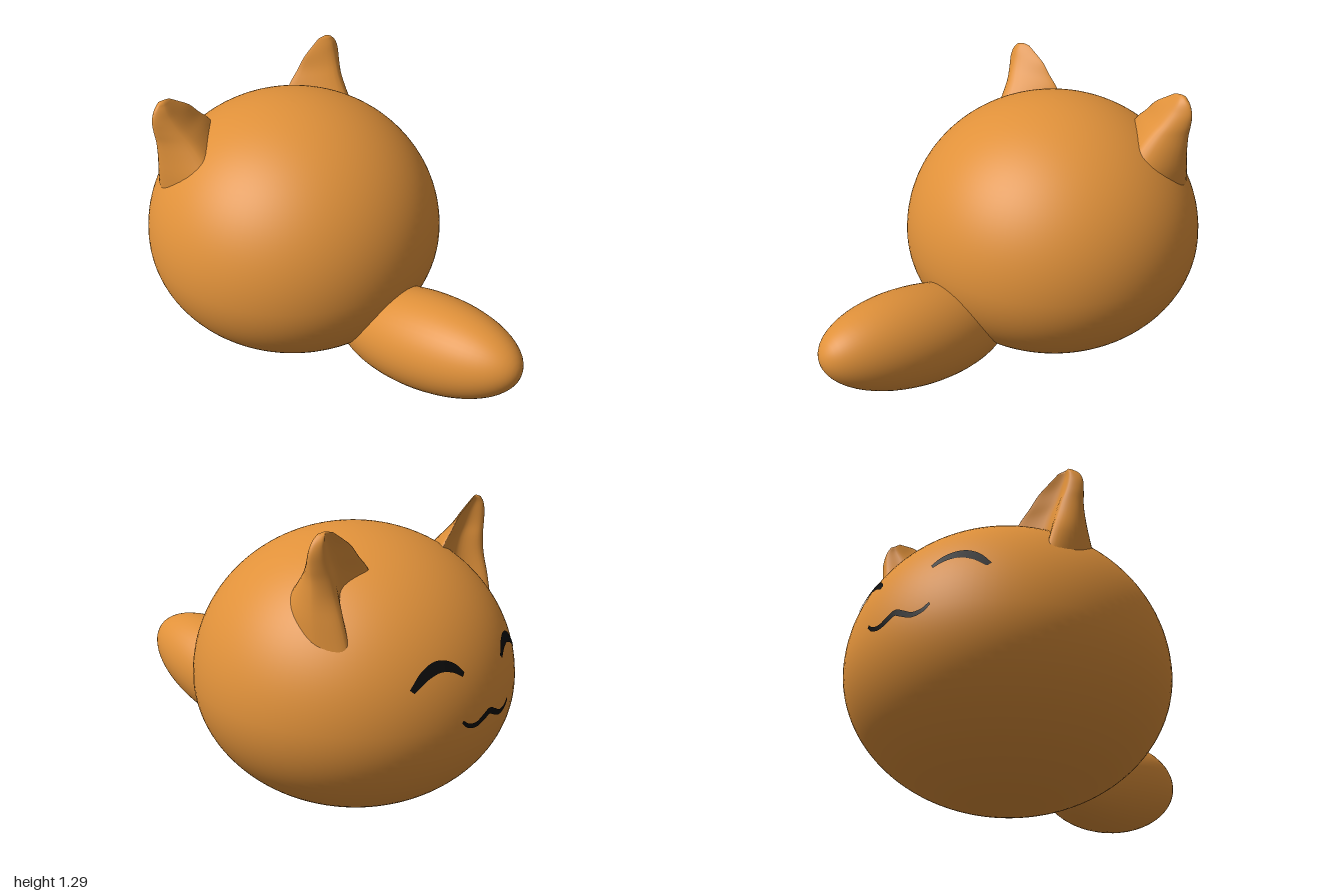
import * as THREE from 'three';

const fur = new THREE.MeshStandardMaterial({ color: 0xe0913a });
fur.name = 'orangeFur';
const ink = new THREE.MeshStandardMaterial({ color: 0x0c0c0c, side: THREE.DoubleSide });
ink.name = 'blackInk';

// Egg-shaped body: rounder above its widest level than below it
const BODY = { y: 0.56, z: -0.31, r: 0.69, up: 0.645, down: 0.557 };

function mesh(name, geometry, material) {
  const m = new THREE.Mesh(geometry, material);
  m.name = name;
  return m;
}

function makeBody() {
  const profile = [];
  for (let i = 0; i <= 64; i++) {
    const a = -Math.PI / 2 + (Math.PI * i) / 64;
    const h = Math.sin(a) * (a > 0 ? BODY.up : BODY.down);
    profile.push(new THREE.Vector2(Math.max(0, Math.cos(a) * BODY.r), h));
  }
  const body = mesh('body', new THREE.LatheGeometry(profile, 96), fur);
  body.position.set(0, BODY.y, BODY.z);
  return body;
}

function makeTail() {
  const tail = mesh('tail', new THREE.SphereGeometry(1, 48, 32).rotateX(Math.PI / 2), fur);
  tail.scale.set(0.22, 0.221, 0.501);
  tail.rotation.x = -0.236;
  tail.position.set(0, 0.325, 0.51);
  return tail;
}

// Ear levels: height, inner x, outer x, back z, front z, z of the hollow
const EAR = [
  [0.80, 0.20, 0.530, -0.24, -0.70, -0.560],
  [0.95, 0.20, 0.541, -0.31, -0.66, -0.560],
  [1.05, 0.21, 0.543, -0.39, -0.625, -0.560],
  [1.12, 0.25, 0.545, -0.45, -0.61, -0.560],
  [1.17, 0.30, 0.552, -0.49, -0.602, -0.563],
  [1.22, 0.345, 0.553, -0.522, -0.597, -0.567],
  [1.26, 0.405, 0.536, -0.543, -0.593, -0.573],
  [1.285, 0.445, 0.51, -0.56, -0.587, -0.578],
];

// Ear lofted through smooth closed cross-sections, hollow on the face side
function makeEar(name, side) {
  const rows = 28, cols = 40;
  const columns = [0, 1, 2, 3, 4].map((k) => new THREE.CatmullRomCurve3(
    EAR.map(([y, xi, xo, zb, zf, zh]) => {
      const at = (f) => xi + (xo - xi) * f;
      const [x, z] = [
        [xi, -0.582], [at(0.66), zb], [xo, -0.565], [at(0.8), zf], [at(0.48), zh],
      ][k];
      return new THREE.Vector3(x, y, z);
    })));
  const pos = [], index = [];
  for (let i = 0; i <= rows; i++) {
    const ring = new THREE.CatmullRomCurve3(columns.map((c) => c.getPoint(i / rows)), true);
    for (let j = 0; j < cols; j++) {
      const p = ring.getPoint(j / cols);
      pos.push(p.x * side, p.y, p.z);
    }
  }
  const tri = (a, b, c) => (side > 0 ? index.push(a, b, c) : index.push(a, c, b));
  for (let i = 0; i < rows; i++) {
    for (let j = 0; j < cols; j++) {
      const a = i * cols + j, b = i * cols + ((j + 1) % cols);
      tri(a, b, b + cols);
      tri(a, b + cols, a + cols);
    }
  }
  // Rounded tip
  const tip = pos.length / 3;
  pos.push(0.48 * side, 1.293, -0.574);
  for (let j = 0; j < cols; j++) tri(rows * cols + j, rows * cols + ((j + 1) % cols), tip);
  const g = new THREE.BufferGeometry();
  g.setAttribute('position', new THREE.Float32BufferAttribute(pos, 3));
  g.setIndex(index);
  g.computeVertexNormals();
  return mesh(name, g, fur);
}

// Point just above the face side of the body
function onFace(x, y) {
  const h = (y - BODY.y) / (y > BODY.y ? BODY.up : BODY.down);
  const z = BODY.z - Math.sqrt(BODY.r ** 2 * (1 - h * h) - x * x) - 0.004;
  return [x, y, z];
}

// Tapered brush stroke laid on the face
function makeStroke(name, points, width) {
  const curve = new THREE.CatmullRomCurve3(points.map(([x, y]) => new THREE.Vector3(x, y, 0)));
  const n = 40, pos = [], index = [];
  for (let i = 0; i <= n; i++) {
    const p = curve.getPoint(i / n), t = curve.getTangent(i / n);
    const w = (width / 2) * (0.45 + 0.55 * Math.sin((Math.PI * i) / n));
    pos.push(...onFace(p.x - t.y * w, p.y + t.x * w), ...onFace(p.x + t.y * w, p.y - t.x * w));
    const a = i * 2;
    if (i < n) index.push(a, a + 2, a + 1, a + 1, a + 2, a + 3);
  }
  const g = new THREE.BufferGeometry();
  g.setAttribute('position', new THREE.Float32BufferAttribute(pos, 3));
  g.setIndex(index);
  g.computeVertexNormals();
  return mesh(name, g, ink);
}

export function createModel() {
  const model = new THREE.Group();
  model.name = 'roundCat';
  model.add(makeBody(), makeTail());
  for (const [label, s] of [['left', 1], ['right', -1]]) {
    model.add(makeEar(label + 'Ear', s));
    // Closed, smiling eye
    const arc = [[0.13, 0.752], [0.17, 0.785], [0.225, 0.798], [0.285, 0.776], [0.345, 0.725]];
    // Listed from -x to +x so both strokes face outwards
    const pts = arc.map(([x, y]) => [x * s, y]);
    model.add(makeStroke(label + 'Eye', s > 0 ? pts : pts.reverse(), 0.042));
  }
  // Wavy mouth
  model.add(makeStroke('mouth', [
    [-0.155, 0.575], [-0.125, 0.552], [-0.08, 0.545], [-0.035, 0.563], [0, 0.577],
    [0.035, 0.563], [0.08, 0.545], [0.125, 0.552], [0.155, 0.575],
  ], 0.026));
  return model;
}
